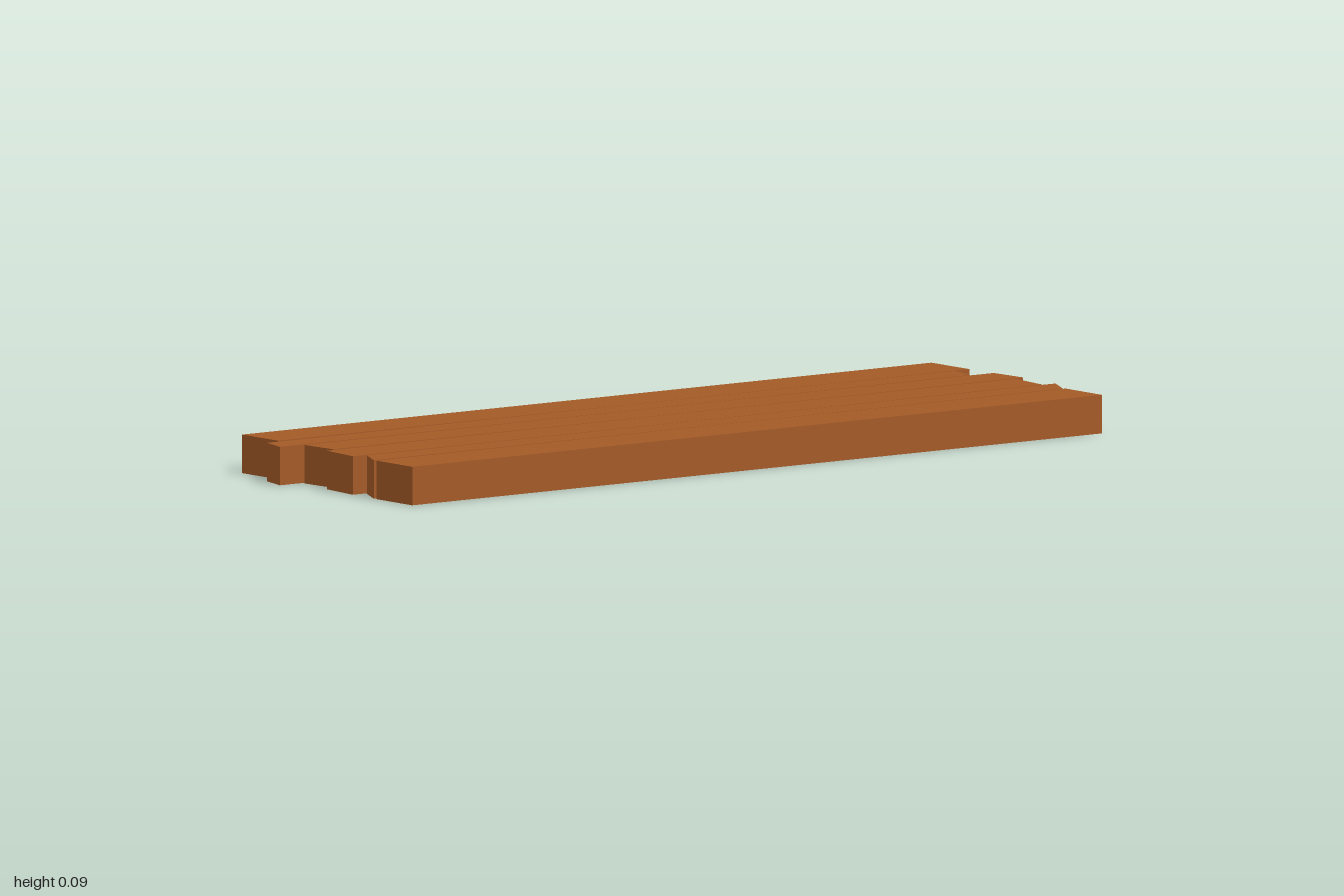
import * as THREE from 'three';

const HEIGHT = 0.087;

// Per board: [xLeft, xRight] at the back, middle and front, then end-cut z: [left, right] at back and front
const BOARDS = [
  { back: [-0.32, -0.187], mid: [-0.32, -0.188], front: [-0.32, -0.194], zBack: [-0.973, -0.98], zFront: [0.949, 0.942] },
  { back: [-0.183, -0.111], mid: [-0.185, -0.109], front: [-0.181, -0.113], zBack: [-0.938, -0.925], zFront: [0.982, 0.997] },
  { back: [-0.105, -0.009], mid: [-0.106, -0.006], front: [-0.105, -0.01], zBack: [-0.987, -0.997], zFront: [0.935, 0.925] },
  { back: [-0.002, 0.106], mid: [-0.003, 0.108], front: [0, 0.105], zBack: [-0.97, -0.964], zFront: [0.95, 0.956] },
  { back: [0.112, 0.186], mid: [0.111, 0.188], front: [0.112, 0.184], zBack: [-0.998, -0.963], zFront: [0.922, 0.956] },
  { back: [0.191, 0.32], mid: [0.191, 0.32], front: [0.193, 0.32], zBack: [-0.968, -0.973], zFront: [0.955, 0.95] },
];

// Extrude a board's plan outline upward; shape y becomes -z
function makeBoard({ back, mid, front, zBack, zFront }, material) {
  const outline = [
    [front[0], zFront[0]], [front[1], zFront[1]],
    [mid[1], 0],
    [back[1], zBack[1]], [back[0], zBack[0]],
    [mid[0], 0],
  ].map(([x, z]) => new THREE.Vector2(x, -z));
  const geometry = new THREE.ExtrudeGeometry(new THREE.Shape(outline), { depth: HEIGHT, bevelEnabled: false });
  geometry.rotateX(-Math.PI / 2);
  return new THREE.Mesh(geometry, material);
}

export function createModel() {
  const group = new THREE.Group();
  group.name = 'plankPanel';
  const wood = new THREE.MeshStandardMaterial({ color: 0xa35a26, flatShading: true });
  BOARDS.forEach((board, i) => {
    const mesh = makeBoard(board, wood);
    mesh.name = `plank${i + 1}`;
    group.add(mesh);
  });
  return group;
}
